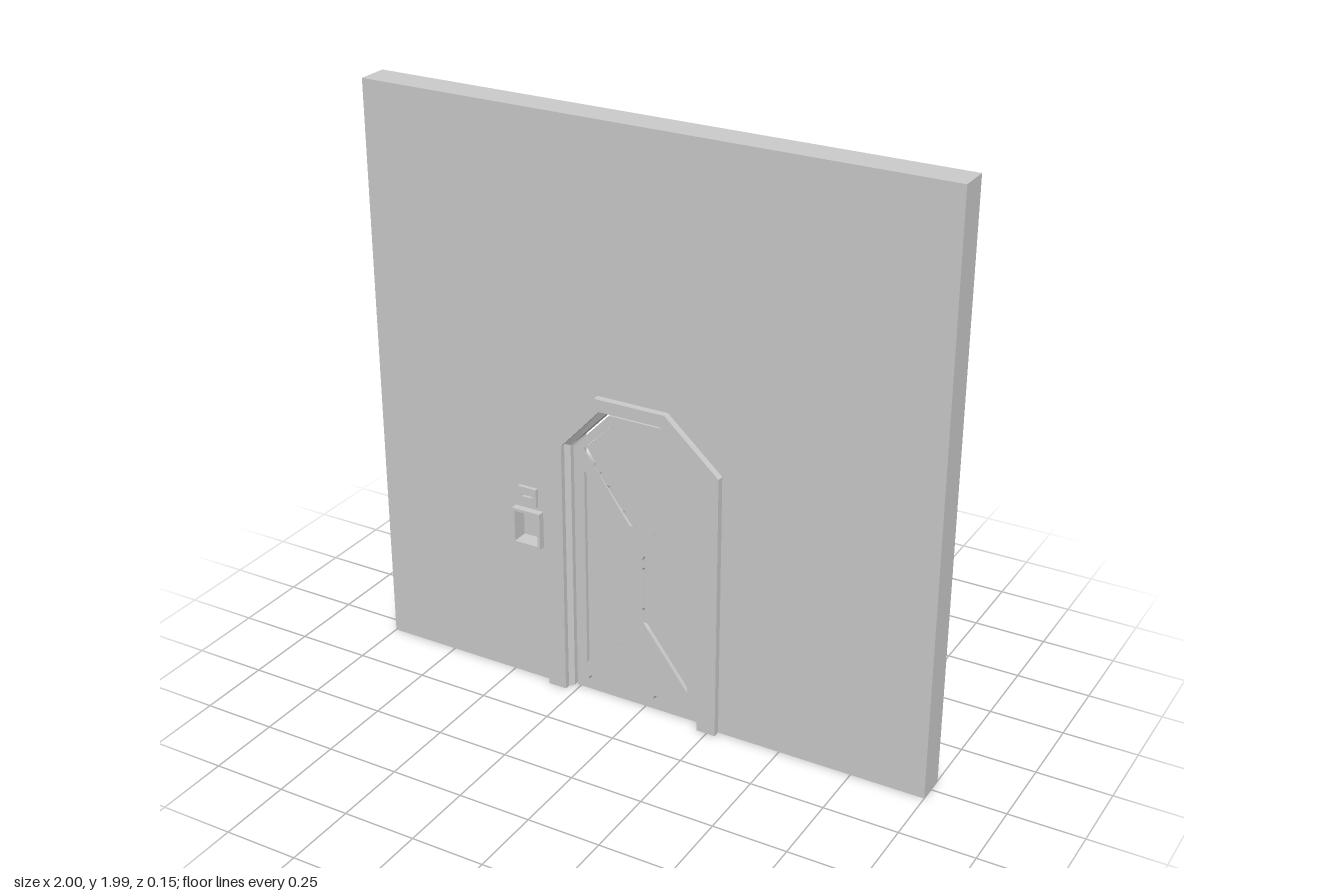
import * as THREE from 'three';

const DOOR_X = -0.035; // centre line of the doorway
const WALL_H = 1.99;
const WALL_Z = 0.053;  // half thickness of the wall
const FRAME_Z = 0.077; // half depth of the door frame

const material = new THREE.MeshStandardMaterial({ color: 0xcccccc, flatShading: true });

function part(name, geometry, parent) {
  const mesh = new THREE.Mesh(geometry, material);
  mesh.name = name;
  parent.add(mesh);
  return mesh;
}

// Outline of a doorway with clipped upper corners, from lower left to lower right
function arch(halfWidth, spring, halfTop, top) {
  return [
    [-halfWidth, 0], [-halfWidth, spring], [-halfTop, top],
    [halfTop, top], [halfWidth, spring], [halfWidth, 0],
  ];
}

const toPoints = (list, dx = 0) => list.map(([x, y]) => new THREE.Vector2(x + dx, y));
const rect = (x0, x1, y0, y1) => [[x0, y0], [x1, y0], [x1, y1], [x0, y1]];

// Flat plate spanning z0..z1, with optional holes
function plate(outline, z0, z1, holes = []) {
  const shape = new THREE.Shape(toPoints(outline));
  for (const hole of holes) shape.holes.push(new THREE.Path(toPoints(hole)));
  const geometry = new THREE.ExtrudeGeometry(shape, { depth: z1 - z0, bevelEnabled: false });
  return geometry.translate(0, 0, z0);
}

// Sweep a closed profile along the doorway: each section is [outline, z]
function frameGeometry(sections) {
  const n = sections.length;
  const count = sections[0][0].length;
  const positions = [];
  const index = [];
  for (let i = 0; i < count; i++) {
    for (const [outline, z] of sections) positions.push(outline[i][0], outline[i][1], z);
  }
  for (let i = 0; i < count - 1; i++) {
    for (let j = 0; j < n; j++) {
      const k = (j + 1) % n;
      const a = i * n + j, b = i * n + k, c = a + n, d = b + n;
      index.push(a, c, b, b, c, d);
    }
  }
  // feet of the two posts
  const foot = THREE.ShapeUtils.triangulateShape(
    sections.map(([outline, z]) => new THREE.Vector2(outline[0][0], z)), []);
  const last = (count - 1) * n;
  for (const [a, b, c] of foot) {
    index.push(a, b, c);
    index.push(last + a, last + c, last + b);
  }
  const geometry = new THREE.BufferGeometry();
  geometry.setAttribute('position', new THREE.Float32BufferAttribute(positions, 3));
  geometry.setIndex(index);
  const flat = geometry.toNonIndexed();
  flat.computeVertexNormals();
  return flat;
}

export function createModel() {
  const model = new THREE.Group();
  model.name = 'wallWithDoor';

  // Wall, cut out for the doorway and the wall box
  const niche = rect(-0.469, -0.382, 0.514, 0.625);
  const opening = toPoints(arch(0.28, 0.915, 0.115, 1.08), DOOR_X).map((p) => [p.x, p.y]);
  const wallOutline = [[-1, 0], ...opening, [1, 0], [1, WALL_H], [-1, WALL_H]];
  part('wall', plate(wallOutline, -WALL_Z, WALL_Z, [niche]), model);

  // Door frame with chamfered jambs on both faces
  const outer = arch(0.315, 0.93, 0.125, 1.1);
  const lip = arch(0.249, 0.905, 0.108, 1.058);
  const stop = arch(0.235, 0.898, 0.1, 1.04);
  const frame = part('doorFrame', frameGeometry([
    [outer, -FRAME_Z], [outer, FRAME_Z],
    [lip, FRAME_Z], [lip, 0.058], [stop, 0.042],
    [stop, -0.042], [lip, -0.058], [lip, -FRAME_Z],
  ]), model);
  frame.material = material.clone();
  frame.material.side = THREE.DoubleSide;
  frame.position.x = DOOR_X;

  // Door leaf with four sunken panels on both faces
  const door = new THREE.Group();
  door.name = 'door';
  door.position.x = DOOR_X;
  model.add(door);
  const sidePanel = [[-0.19, 0.1], [-0.024, 0.32], [-0.024, 0.6], [-0.19, 0.815]];
  const panels = [
    [[-0.19, 0.895], [-0.095, 0.99], [0.095, 0.99], [0.19, 0.895], [0.024, 0.66], [-0.024, 0.66]],
    sidePanel,
    sidePanel.map(([x, y]) => [-x, y]),
    [[-0.19, 0.04], [-0.024, 0.27], [0.024, 0.27], [0.19, 0.04]],
  ];
  part('doorLeaf', plate(arch(0.228, 0.893, 0.097, 1.03), -0.035, 0.035, panels), door);
  panels.forEach((panel, i) => part('doorPanel' + (i + 1), plate(panel, -0.02, 0.02), door));

  // Hollow wall box and the small control plate above it, on both faces
  part('wallBoxBack', plate(niche, -0.02, 0.02), model);
  for (const [side, angle] of [['front', 0], ['back', Math.PI]]) {
    const controls = new THREE.Group();
    controls.name = side + 'Controls';
    controls.position.x = -0.4255;
    controls.rotation.y = angle;
    model.add(controls);
    part('wallBoxRim', plate(rect(-0.0525, 0.0525, 0.505, 0.635), WALL_Z - 0.002, FRAME_Z,
      [rect(-0.0435, 0.0435, 0.514, 0.625)]), controls);
    part('controlPlate', plate(rect(-0.034, 0.034, 0.65, 0.715), WALL_Z - 0.002, 0.066,
      [rect(-0.02, 0.02, 0.681, 0.687)]), controls);
  }

  return model;
}
